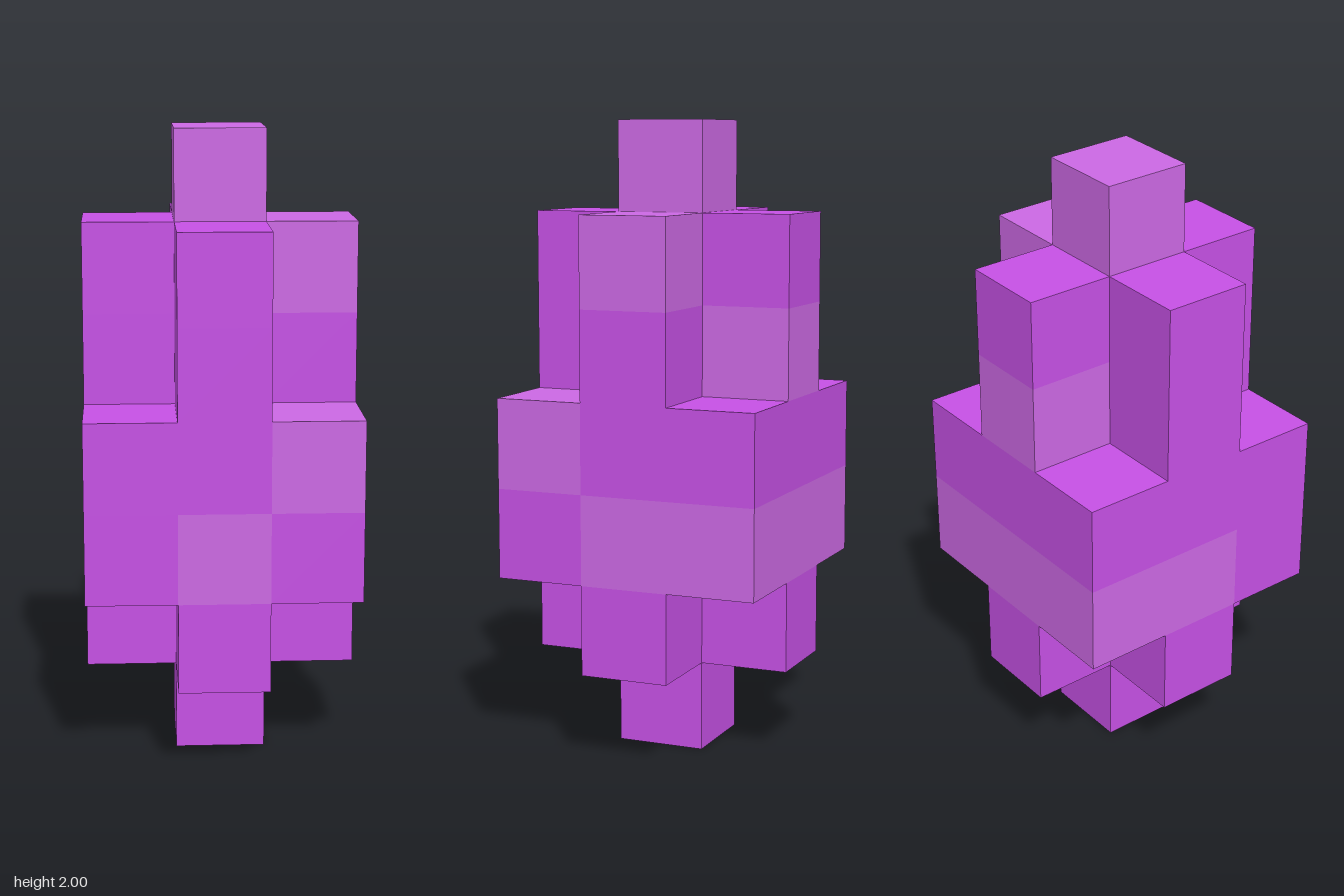
import * as THREE from 'three';
import { mergeGeometries } from 'three/addons/utils/BufferGeometryUtils.js';

const U = 2 / 7; // edge of one cube

// Each layer, bottom to top, read as rows from back (-z) to front (+z).
// P = purple cube, L = light cube, . = empty
const LAYERS = [
  { name: 'bottomTip', rows: ['...', '.P.', '...'] },
  { name: 'lowerCross', rows: ['.P.', 'PPP', '.P.'] },
  { name: 'lowerBody', rows: ['LLL', 'LPL', 'PLP'] },
  { name: 'upperBody', rows: ['PPP', 'PPP', 'PPL'] },
  { name: 'lowerProngs', rows: ['.L.', 'PPP', '.P.'] },
  { name: 'upperProngs', rows: ['.P.', 'PPL', '.P.'] },
  { name: 'topTip', rows: ['...', '.L.', '...'] },
];

const SIDES = [[1, 0, 0], [-1, 0, 0], [0, 1, 0], [0, -1, 0], [0, 0, 1], [0, 0, -1]];

// Cube type at a grid position, or '.' outside the model
const cell = (x, y, z) => LAYERS[y]?.rows[z + 1]?.[x + 1] ?? '.';

// One square face of a cube, turned to face along n
function face(x, y, z, n) {
  const g = new THREE.PlaneGeometry(U, U);
  if (n[0]) g.rotateY(n[0] * Math.PI / 2);
  else if (n[1]) g.rotateX(-n[1] * Math.PI / 2);
  else if (n[2] < 0) g.rotateY(Math.PI);
  return g.translate((x + n[0] / 2) * U, (y + 0.5 + n[1] / 2) * U, (z + n[2] / 2) * U);
}

export function createModel() {
  const purple = new THREE.MeshStandardMaterial({ color: 0xc651e5 });
  purple.name = 'purple';
  const light = new THREE.MeshStandardMaterial({ color: 0xcc69e4 });
  light.name = 'lightPurple';
  const materials = { P: purple, L: light };

  const model = new THREE.Group();
  model.name = 'steppedCrystal';

  LAYERS.forEach(({ name }, y) => {
    const layer = new THREE.Group();
    layer.name = name;
    for (const type of ['P', 'L']) {
      // Only the outward faces of this layer's cubes are kept
      const faces = [];
      for (let x = -1; x <= 1; x++) {
        for (let z = -1; z <= 1; z++) {
          if (cell(x, y, z) !== type) continue;
          for (const n of SIDES) {
            if (cell(x + n[0], y + n[1], z + n[2]) === '.') faces.push(face(x, y, z, n));
          }
        }
      }
      if (!faces.length) continue;
      const mesh = new THREE.Mesh(mergeGeometries(faces), materials[type]);
      mesh.name = name + (type === 'P' ? 'Cubes' : 'LightCubes');
      layer.add(mesh);
    }
    model.add(layer);
  });
  return model;
}
